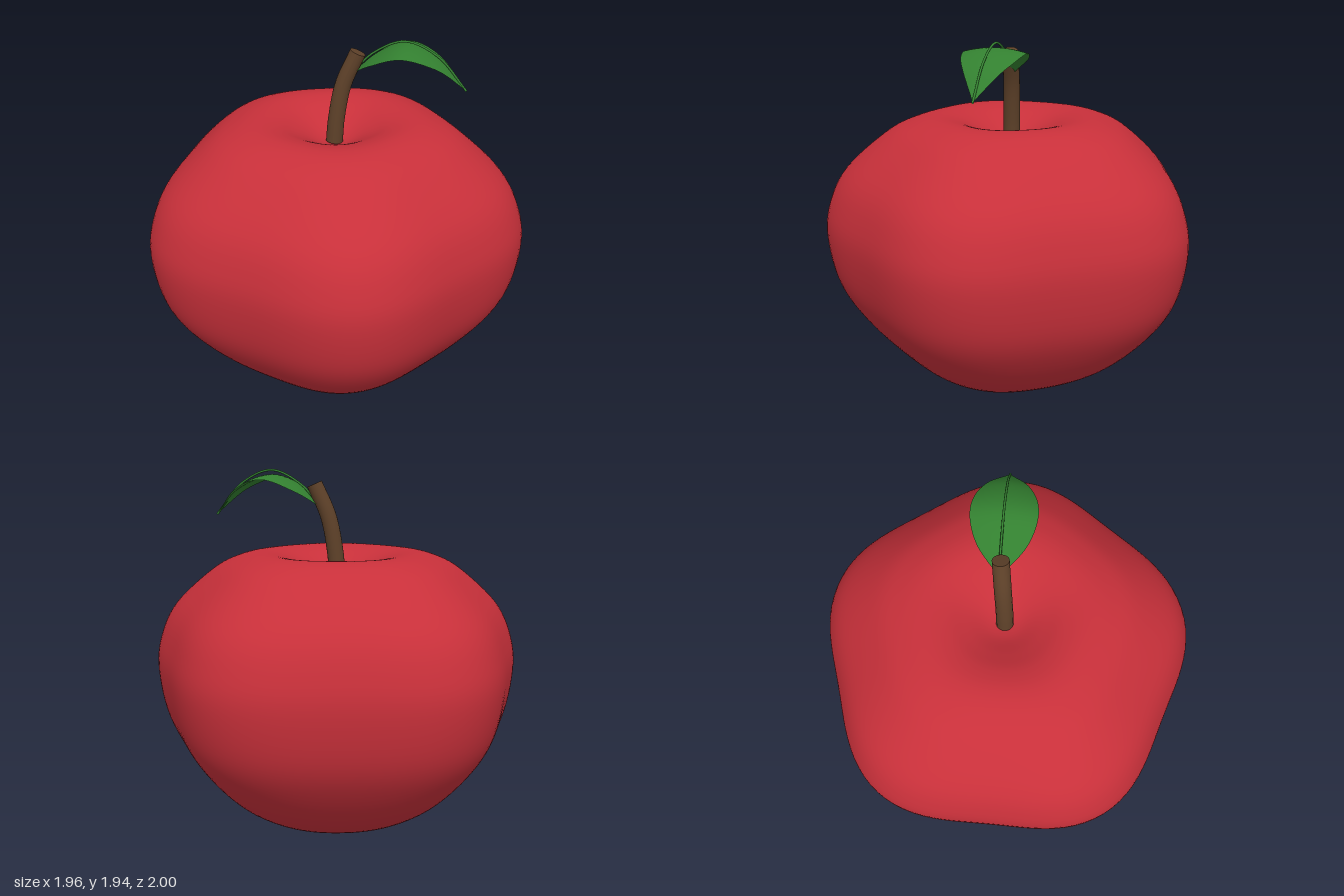
import * as THREE from 'three';
import { mergeVertices } from 'three/addons/utils/BufferGeometryUtils.js';

const V2 = (x, y) => new THREE.Vector2(x, y);
const V3 = (x, y, z) => new THREE.Vector3(x, y, z);

const skin = new THREE.MeshStandardMaterial({ color: 0xc8303a });
skin.name = 'red skin';
const bark = new THREE.MeshStandardMaterial({ color: 0x5e4129 });
bark.name = 'brown bark';
const green = new THREE.MeshStandardMaterial({ color: 0x338030, side: THREE.DoubleSide });
green.name = 'leaf green';

const CENTRE_X = -0.045;

// Lathed body with dimpled poles, pushed into five soft lobes
function makeBody() {
  const profile = new THREE.SplineCurve([
    V2(0, 0.07), V2(0.1, 0.035), V2(0.24, 0), V2(0.42, 0.06), V2(0.635, 0.2),
    V2(0.82, 0.4), V2(0.935, 0.6), V2(0.98, 0.85), V2(0.957, 1.03), V2(0.87, 1.21),
    V2(0.67, 1.4), V2(0.53, 1.475), V2(0.41, 1.5), V2(0.3, 1.483), V2(0.2, 1.44),
    V2(0.09, 1.385), V2(0, 1.365),
  ]).getPoints(96);
  profile.forEach((p) => { p.x = Math.max(p.x, 0); p.y = THREE.MathUtils.clamp(p.y, 0, 1.5); });
  let geo = new THREE.LatheGeometry(profile, 120);
  const pos = geo.attributes.position;
  for (let i = 0; i < pos.count; i++) {
    const x = pos.getX(i), z = pos.getZ(i);
    const k = 1 + 0.047 * Math.min(1, Math.hypot(x, z)) * Math.cos(5 * Math.atan2(z, x));
    pos.setX(i, x * k + CENTRE_X);
    pos.setZ(i, z * k);
  }
  // Weld the seam so shading stays smooth
  geo.deleteAttribute('uv');
  geo.deleteAttribute('normal');
  geo = mergeVertices(geo, 1e-5);
  geo.computeVertexNormals();
  return geo;
}

// Capped cylinder bent along a curve
function makeStem() {
  const path = new THREE.CatmullRomCurve3([
    V3(CENTRE_X, 1.375, 0), V3(-0.035, 1.5, -0.003), V3(0, 1.69, -0.014), V3(0.072, 1.86, -0.03),
  ]);
  const geo = new THREE.CylinderGeometry(0.042, 0.045, 1, 20, 16);
  const pos = geo.attributes.position;
  for (let i = 0; i < pos.count; i++) {
    const t = THREE.MathUtils.clamp(pos.getY(i) + 0.5, 0, 1);
    const tangent = path.getTangent(t);
    const side = tangent.clone().cross(V3(0, 0, 1)).normalize();
    const across = side.clone().cross(tangent);
    const p = path.getPoint(t)
      .addScaledVector(side, pos.getX(i)).addScaledVector(across, pos.getZ(i));
    pos.setXYZ(i, p.x, p.y, p.z);
  }
  geo.computeVertexNormals();
  return geo;
}

// Arched blade: pointed at both ends, drooping slightly at its edges
function makeLeaf() {
  const spine = new THREE.CatmullRomCurve3([
    V3(0.04, 1.74, -0.036), V3(0.15, 1.84, -0.036), V3(0.31, 1.907, -0.036),
    V3(0.48, 1.845, -0.036), V3(0.63, 1.69, -0.036),
  ]);
  const geo = new THREE.PlaneGeometry(1, 2, 32, 12);
  geo.rotateX(-Math.PI / 2);
  const pos = geo.attributes.position;
  for (let i = 0; i < pos.count; i++) {
    const t = pos.getX(i) + 0.5, s = pos.getZ(i);
    const w = Math.pow(Math.max(0, Math.sin(Math.PI * t)), 1.1);
    const p = spine.getPoint(THREE.MathUtils.clamp(t, 0, 1));
    pos.setXYZ(i, p.x, p.y - 0.022 * s * s * w, p.z + 0.162 * s * w);
  }
  geo.computeVertexNormals();
  return geo;
}

// Thin midrib arching just above the blade
function makeMidrib() {
  const path = new THREE.CatmullRomCurve3([
    V3(0.04, 1.745, -0.036), V3(0.15, 1.86, -0.036), V3(0.31, 1.93, -0.036),
    V3(0.48, 1.86, -0.036), V3(0.63, 1.69, -0.036),
  ]);
  return new THREE.TubeGeometry(path, 40, 0.006, 8);
}

export function createModel() {
  const group = new THREE.Group();
  group.name = 'apple';
  const add = (name, geo, mat) => {
    const mesh = new THREE.Mesh(geo, mat);
    mesh.name = name;
    group.add(mesh);
  };
  add('body', makeBody(), skin);
  add('stem', makeStem(), bark);
  add('leaf', makeLeaf(), green);
  add('leafMidrib', makeMidrib(), green);
  return group;
}
